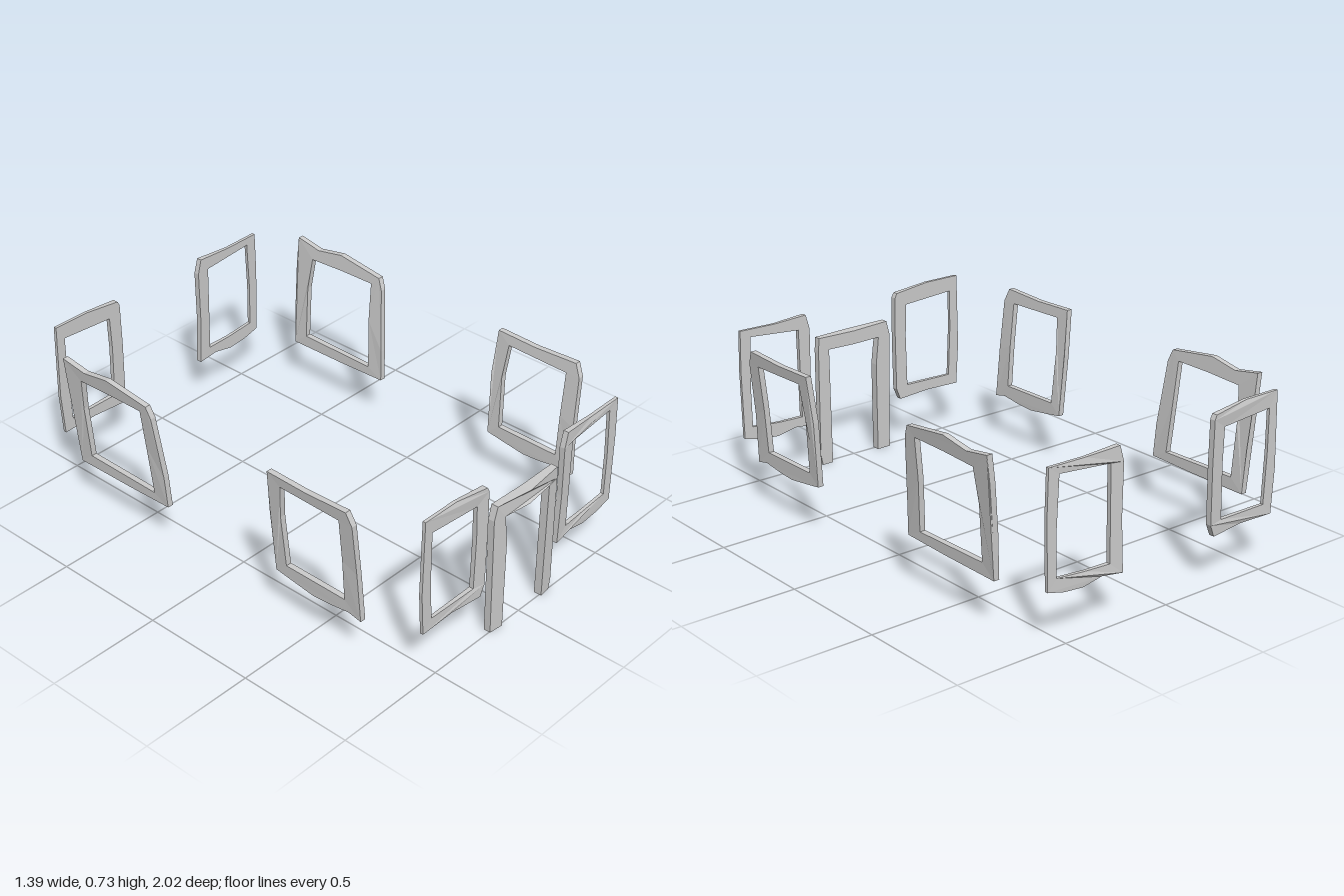
import * as THREE from 'three';

const material = new THREE.MeshStandardMaterial({ color: 0xcccccc, flatShading: true, side: THREE.DoubleSide });
const points = (list) => list.map(([a, b]) => new THREE.Vector2(a, b));

// Slab cut from an outline; place(u, v, side) turns each corner into a position (side is -1 or 1)
function frameGeometry(outer, inner, place) {
  const shape = new THREE.Shape(points(outer));
  if (inner) shape.holes.push(new THREE.Path(points(inner)));
  const geo = new THREE.ExtrudeGeometry(shape, { depth: 2, bevelEnabled: false });
  const pos = geo.attributes.position;
  for (let i = 0; i < pos.count; i++) {
    pos.setXYZ(i, ...place(pos.getX(i), pos.getY(i), pos.getZ(i) - 1));
  }
  geo.deleteAttribute('uv');
  geo.computeVertexNormals();
  return geo;
}

// Mirrored copy with the triangle winding turned back outwards
function mirrored(geo, sx, sz) {
  const copy = geo.clone().scale(sx, 1, sz);
  const pos = copy.attributes.position;
  const a = new THREE.Vector3(), b = new THREE.Vector3();
  for (let i = 0; i < pos.count; i += 3) {
    a.fromBufferAttribute(pos, i);
    b.fromBufferAttribute(pos, i + 1);
    pos.setXYZ(i, b.x, b.y, b.z);
    pos.setXYZ(i + 1, a.x, a.y, a.z);
  }
  copy.computeVertexNormals();
  return copy;
}

// Front wall: upright, a little thicker towards the doorway
const onFrontWall = (x, y, side) => {
  const flare = Math.max(0, 1 - (Math.abs(x) - 0.22) / 0.12);
  return [x, y, 0.981 + side * 0.007 + (side > 0 ? 0.012 * flare : 0)];
};

// Side wall: leans outwards in a soft curve towards the top
const onSideWall = (u, y, side) => {
  const t = Math.max(0, (y - 0.2) / 0.52);
  return [0.638 + 0.045 * Math.pow(t, 1.5) + side * 0.0125, y, -u];
};

// Door and front windows, as x and y
const door = [[-0.18, 0], [-0.115, 0], [-0.115, 0.4], [-0.13, 0.525], [0, 0.522], [0.135, 0.525], [0.132, 0],
  [0.185, 0], [0.195, 0.05], [0.19, 0.53], [0.185, 0.585], [0, 0.582], [-0.175, 0.59], [-0.19, 0.53]];

const frontWindows = {
  frontRightWindow: {
    outer: [[-0.565, 0.215], [-0.4, 0.22], [-0.245, 0.21], [-0.225, 0.26], [-0.222, 0.5], [-0.225, 0.685],
      [-0.235, 0.705], [-0.4, 0.725], [-0.57, 0.725], [-0.577, 0.4]],
    inner: [[-0.52, 0.265], [-0.285, 0.268], [-0.28, 0.5], [-0.285, 0.645], [-0.53, 0.66], [-0.53, 0.48]],
  },
  frontLeftWindow: {
    outer: [[0.225, 0.2], [0.32, 0.21], [0.41, 0.192], [0.5, 0.2], [0.58, 0.22], [0.585, 0.52], [0.58, 0.7],
      [0.41, 0.697], [0.25, 0.705], [0.232, 0.64], [0.235, 0.42]],
    inner: [[0.285, 0.25], [0.4, 0.253], [0.538, 0.265], [0.54, 0.45], [0.53, 0.665], [0.29, 0.645]],
  },
};

// Left side windows, as -z and y
const sideWindows = {
  SideFrontWindow: {
    outer: [[-0.76, 0.2], [-0.7, 0.213], [-0.6, 0.2], [-0.52, 0.195], [-0.41, 0.21], [-0.33, 0.222], [-0.32, 0.5],
      [-0.33, 0.698], [-0.52, 0.693], [-0.72, 0.702], [-0.745, 0.645], [-0.75, 0.42]],
    inner: [[-0.68, 0.265], [-0.385, 0.268], [-0.375, 0.5], [-0.39, 0.652], [-0.68, 0.645], [-0.68, 0.45]],
  },
  SideBackWindow: {
    outer: [[0.265, 0.22], [0.5, 0.213], [0.775, 0.21], [0.782, 0.4], [0.79, 0.6], [0.79, 0.715], [0.67, 0.695],
      [0.54, 0.718], [0.32, 0.69], [0.3, 0.64], [0.272, 0.36]],
    inner: [[0.34, 0.257], [0.71, 0.263], [0.715, 0.5], [0.7, 0.642], [0.53, 0.65], [0.36, 0.652], [0.355, 0.48]],
  },
};

export function createModel() {
  const model = new THREE.Group();
  model.name = 'doorAndWindowFrames';
  const add = (name, geo) => {
    const mesh = new THREE.Mesh(geo, material);
    mesh.name = name;
    model.add(mesh);
  };

  add('doorFrame', frameGeometry(door, null, onFrontWall));

  // The back wall repeats the front windows
  for (const [name, { outer, inner }] of Object.entries(frontWindows)) {
    const geo = frameGeometry(outer, inner, onFrontWall);
    add(name, geo);
    add(name.replace('front', 'back'), mirrored(geo, 1, -1));
  }

  // The right side mirrors the left
  for (const [name, { outer, inner }] of Object.entries(sideWindows)) {
    const geo = frameGeometry(outer, inner, onSideWall);
    add('left' + name, geo);
    add('right' + name, mirrored(geo, -1, 1));
  }
  return model;
}
